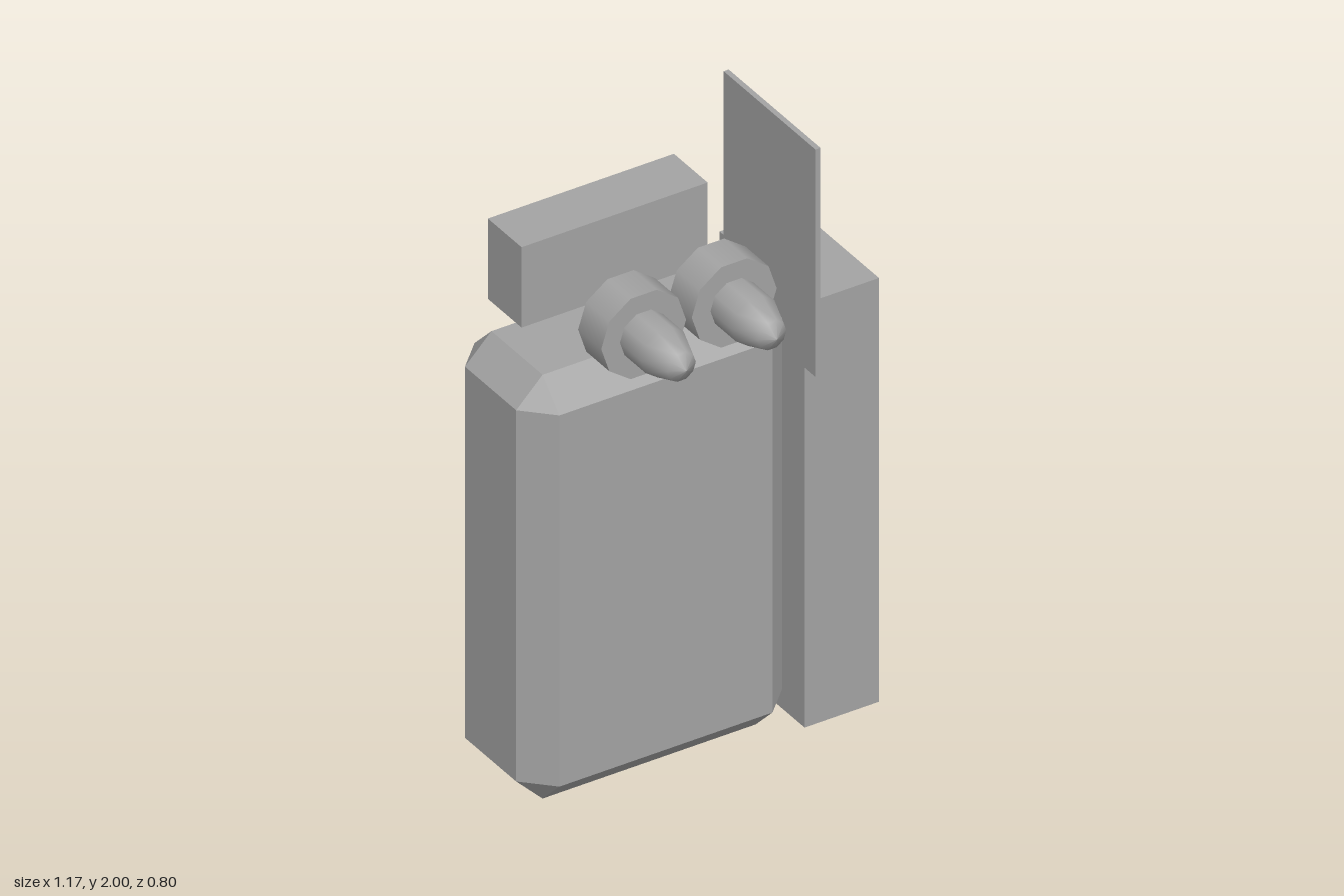
import * as THREE from 'three';
import { ConvexGeometry } from 'three/addons/geometries/ConvexGeometry.js';

const grey = new THREE.MeshStandardMaterial({ color: 0xa3a3a3 });
grey.name = 'grey';

function add(parent, name, geometry) {
  const mesh = new THREE.Mesh(geometry, grey);
  mesh.name = name;
  parent.add(mesh);
  return mesh;
}

// Box given by its lower and upper limits
function boxBetween(x0, x1, y0, y1, z0, z1) {
  return new THREE.BoxGeometry(x1 - x0, y1 - y0, z1 - z0)
    .translate((x0 + x1) / 2, (y0 + y1) / 2, (z0 + z1) / 2);
}

// Box with every edge cut at 45 degrees: three points at each corner
function chamferedBox(w, h, d, c) {
  const points = [];
  for (const sx of [-1, 1]) for (const sy of [-1, 1]) for (const sz of [-1, 1]) {
    for (const [a, b, e] of [[0, c, c], [c, 0, c], [c, c, 0]]) {
      points.push(new THREE.Vector3(sx * (w / 2 - a), sy * (h / 2 - b), sz * (d / 2 - e)));
    }
  }
  return new ConvexGeometry(points);
}

// Ten-sided collar with a pointed nozzle, facing +z
function nozzle(name, x) {
  const group = new THREE.Group();
  group.name = name;
  group.position.set(x, 1.615, 0.048);
  add(group, 'collar', new THREE.CylinderGeometry(0.143, 0.143, 0.122, 10, 1, false, Math.PI / 2)
    .rotateX(Math.PI / 2).translate(0, 0, 0.061));
  const profile = [[0.08, 0.122], [0.08, 0.232], [0.048, 0.322], [0, 0.349]]
    .map(([r, z]) => new THREE.Vector2(r, z));
  add(group, 'tip', new THREE.LatheGeometry(profile, 10, Math.PI / 2).rotateX(Math.PI / 2));
  return group;
}

export function createModel() {
  const model = new THREE.Group();
  model.name = 'pack';

  // Main body
  add(model, 'body', chamferedBox(0.896, 1.435, 0.448, 0.089)).position.set(-0.136, 0.7175, -0.176);

  // Block above the body, side case and upright plate
  add(model, 'topBlock', boxBetween(-0.45, 0.177, 1.48, 1.752, -0.4, -0.222));
  add(model, 'sideCase', boxBetween(0.331, 0.582, 0, 1.435, -0.4, 0.048));
  add(model, 'plate', boxBetween(0.322, 0.339, 1.23, 2, -0.365, 0.12));

  // Pair of nozzles
  model.add(nozzle('rightNozzle', -0.289), nozzle('leftNozzle', 0.016));
  return model;
}
